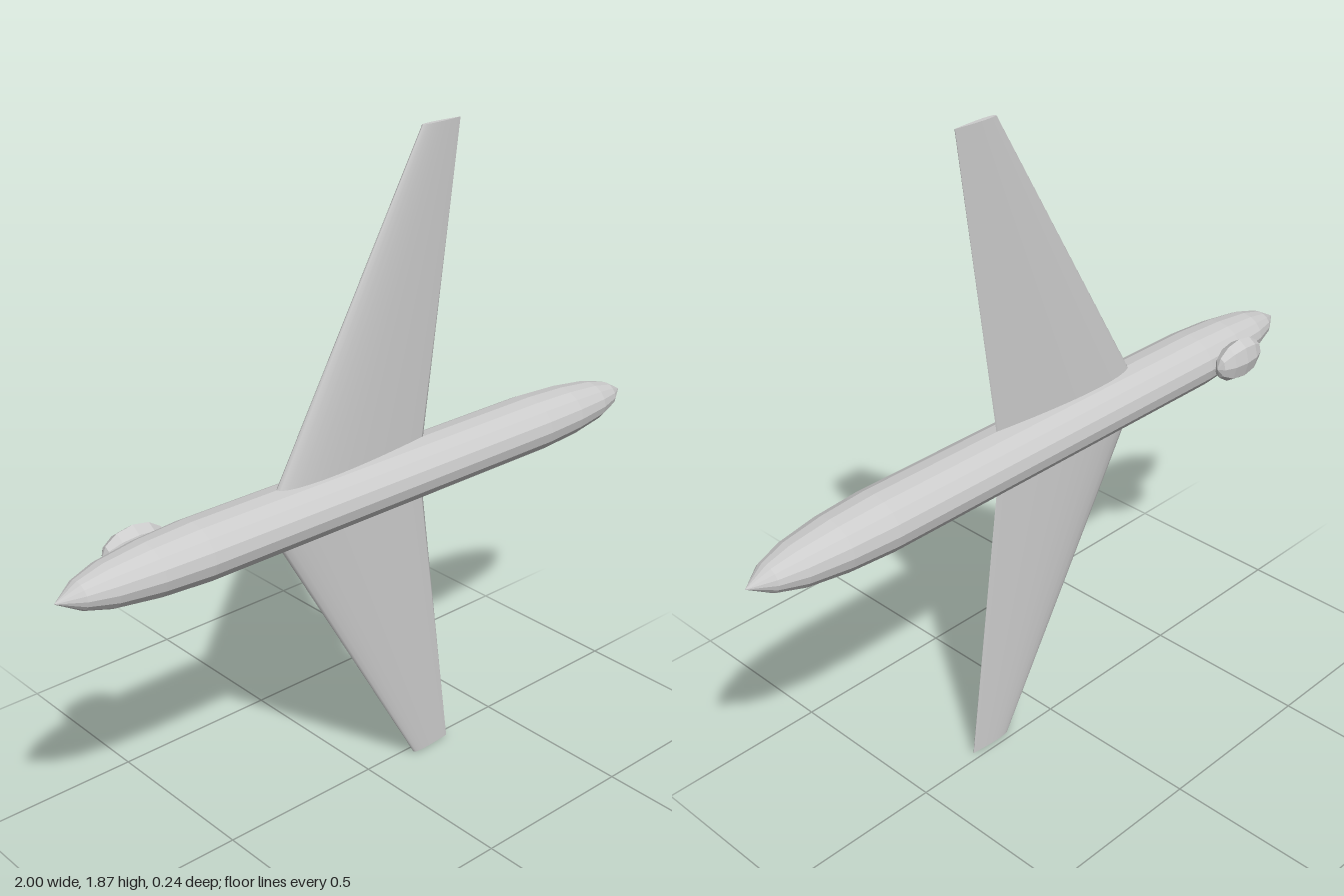
import * as THREE from 'three';

const CY = 0.935, CZ = 0.023; // body axis

// Closed symmetric airfoil loop as [chord fraction, thickness fraction]
function airfoil(n, thickness) {
  const half = (t) => 5 * thickness * (0.2969 * Math.sqrt(t) - 0.126 * t - 0.3516 * t * t + 0.2843 * t ** 3 - 0.1036 * t ** 4);
  const loop = [];
  for (let i = 0; i < 2 * n; i++) {
    const t = (1 + Math.cos((Math.PI * i) / n)) / 2;
    loop.push([t, (i < n ? 1 : -1) * Math.max(half(t), 0)]);
  }
  return loop;
}

// Loft the airfoil from the body axis out to one tip; dir is +1 up, -1 down
function wingGeometry(dir) {
  const loop = airfoil(14, 0.1), n = loop.length;
  const sections = [
    { y: 0, lead: -0.379, trail: 0.168 },
    { y: 0.935, lead: 0.16, trail: 0.295 },
  ];
  const pos = [], index = [];
  const addSection = (s) => {
    const chord = s.trail - s.lead;
    for (const [t, h] of loop) pos.push(s.lead + t * chord, CY + dir * s.y, CZ + h * chord);
  };
  const tri = (a, b, c) => (dir > 0 ? index.push(a, b, c) : index.push(a, c, b));
  sections.forEach(addSection);
  for (let i = 0; i < n; i++) {
    const j = (i + 1) % n;
    tri(i, n + i, j);
    tri(j, n + i, n + j);
  }
  // tip cap with its own vertices so the edge stays sharp
  addSection(sections[1]);
  for (let i = 1; i < n - 1; i++) tri(2 * n, 2 * n + i + 1, 2 * n + i);
  const g = new THREE.BufferGeometry();
  g.setAttribute('position', new THREE.Float32BufferAttribute(pos, 3));
  g.setIndex(index);
  g.computeVertexNormals();
  return g;
}

export function createModel() {
  const group = new THREE.Group();
  const faceted = new THREE.MeshStandardMaterial({ color: 0xcccccc, flatShading: true });
  const smooth = new THREE.MeshStandardMaterial({ color: 0xcccccc, side: THREE.DoubleSide });
  const add = (name, geometry, material) => {
    const mesh = new THREE.Mesh(geometry, material);
    mesh.name = name;
    group.add(mesh);
    return mesh;
  };

  // Fuselage: pointed at both ends, oval in section
  const end = [[1, 0], [0.935, 0.045], [0.86, 0.07], [0.74, 0.088], [0.6, 0.097]];
  const profile = [
    ...end.map(([x, r]) => new THREE.Vector2(r, -x)),
    ...end.slice().reverse().map(([x, r]) => new THREE.Vector2(r, x)),
  ];
  const body = new THREE.LatheGeometry(profile, 16);
  body.rotateZ(-Math.PI / 2);
  body.scale(1, 0.83, 1);
  body.translate(0, CY, CZ);
  add('fuselage', body, faceted);

  // Swept, tapered wings
  add('leftWing', wingGeometry(1), smooth);
  add('rightWing', wingGeometry(-1), smooth);

  // Canopy: low-poly ellipsoid lying along the body
  const canopy = new THREE.SphereGeometry(1, 8, 6);
  canopy.rotateZ(Math.PI / 2);
  canopy.scale(0.095, 0.063, 0.039);
  canopy.translate(-0.7, 0.938, -0.085);
  add('canopy', canopy, faceted);

  return group;
}
